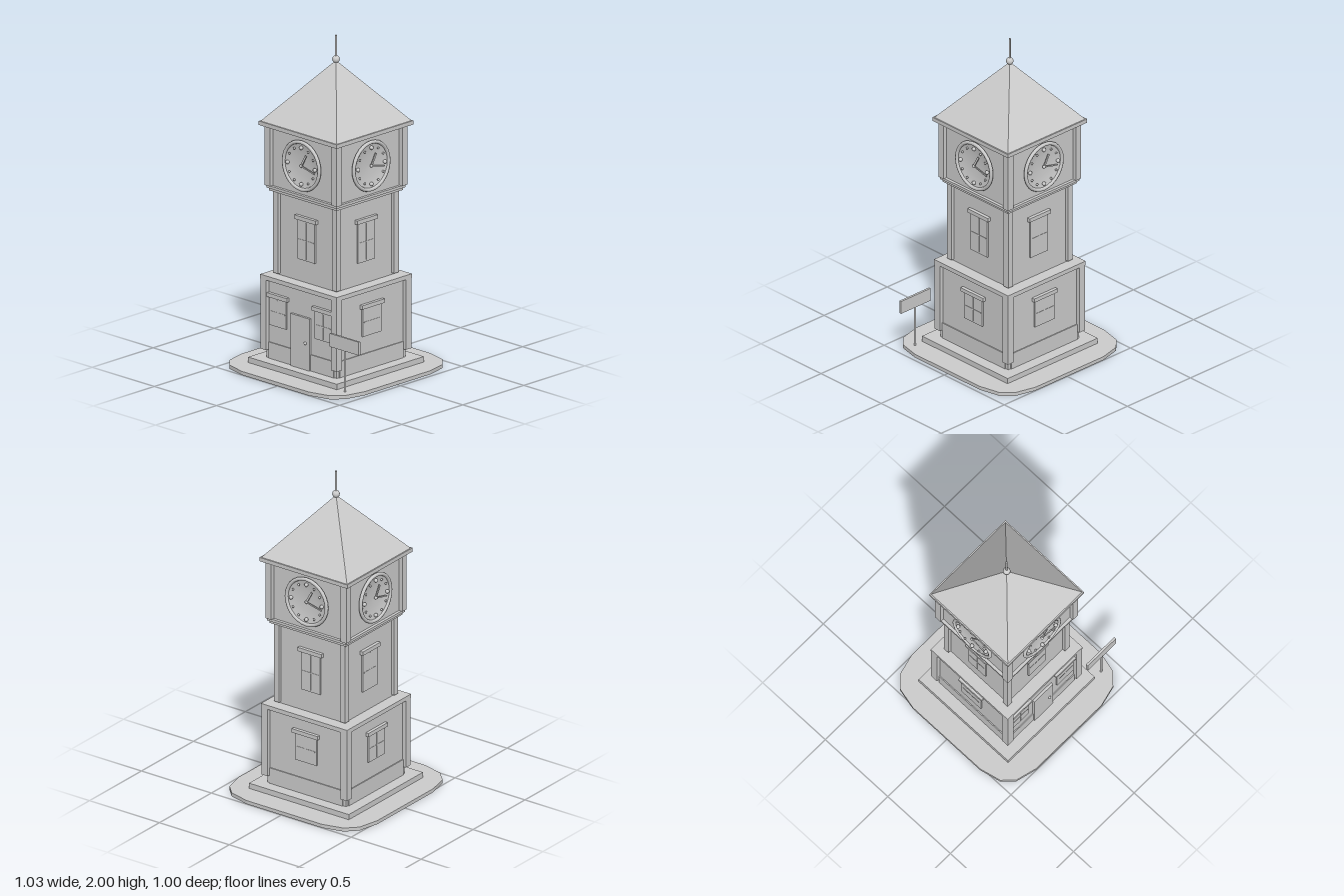
import * as THREE from 'three';

export function createModel() {
  const model = new THREE.Group();
  model.name = 'clockTower';
  const stone = new THREE.MeshStandardMaterial({ color: 0xcccccc });
  stone.name = 'pale stone grey';

  const add = (parent, name, geometry, x = 0, y = 0, z = 0) => {
    const mesh = new THREE.Mesh(geometry, stone);
    mesh.name = name;
    mesh.position.set(x, y, z);
    parent.add(mesh);
    return mesh;
  };
  // Box given by its width, bottom, top and depth
  const block = (parent, name, w, y0, y1, d, x = 0, z = 0) =>
    add(parent, name, new THREE.BoxGeometry(w, y1 - y0, d), x, (y0 + y1) / 2, z);

  const tower = new THREE.Group();
  tower.name = 'tower';
  tower.position.x = -0.02;
  model.add(tower);

  // Ground slab with chamfered round corners
  const corner = [[0.495, 0.27], [0.465, 0.4], [0.4, 0.465], [0.27, 0.498]];
  const outline = [];
  for (const [sx, sy] of [[1, 1], [-1, 1], [-1, -1], [1, -1]]) {
    const run = corner.map(([x, y]) => new THREE.Vector2(x * sx, y * sy));
    outline.push(...(sx * sy > 0 ? run : run.reverse()));
  }
  const slab = new THREE.ExtrudeGeometry(new THREE.Shape(outline), { depth: 0.022, bevelEnabled: false });
  slab.rotateX(-Math.PI / 2);
  add(tower, 'groundSlab', slab);
  block(tower, 'plinth', 0.714, 0.02, 0.055, 0.714);

  // Three storeys: wall core with square corner pillars
  const storeys = [
    { name: 'lower', wall: 0.282, outer: 0.306, width: 0.045, y0: 0.055, y1: 0.535, p0: 0.106 },
    { name: 'middle', wall: 0.235, outer: 0.255, width: 0.038, y0: 0.55, y1: 1.07, p0: 0.566 },
    { name: 'clock', wall: 0.265, outer: 0.29, width: 0.042, y0: 1.08, y1: 1.47, p0: 1.095 },
  ];
  for (const s of storeys) {
    block(tower, s.name + 'Wall', s.wall * 2, s.y0, s.y1, s.wall * 2);
    const c = s.outer - s.width / 2;
    for (const sx of [-1, 1]) for (const sz of [-1, 1])
      block(tower, s.name + 'Pillar', s.width, s.p0, s.y1 - 0.005, s.width, sx * c, sz * c);
  }

  // Cornices between storeys and the eaves
  block(tower, 'lowerCornice', 0.616, 0.53, 0.556, 0.616);
  block(tower, 'upperCornice', 0.545, 1.063, 1.083, 0.545);
  block(tower, 'upperCorniceLip', 0.566, 1.08, 1.096, 0.566);
  block(tower, 'eaves', 0.628, 1.458, 1.482, 0.628);

  // Pyramid roof and finial
  const roof = new THREE.ConeGeometry(0.308 * Math.SQRT2, 0.368, 4, 1).toNonIndexed();
  roof.rotateY(Math.PI / 4);
  roof.computeVertexNormals();
  add(tower, 'roof', roof, 0, 1.664, 0);
  add(tower, 'finialBall', new THREE.SphereGeometry(0.022, 16, 12), 0, 1.855, 0);
  add(tower, 'finialRod', new THREE.CylinderGeometry(0.006, 0.006, 0.14, 10), 0, 1.93, 0);

  // Window with pane, glazing bars and lintel, facing +z
  const windowAt = (parent, x, z, w, y0, y1) => {
    const g = new THREE.Group();
    g.name = 'window';
    g.position.set(x, 0, z);
    block(g, 'windowPane', w, y0, y1, 0.02);
    block(g, 'verticalBar', 0.006, y0 + 0.01, y1 - 0.01, 0.024);
    const mid = (y0 + y1) / 2;
    block(g, 'crossBar', w - 0.02, mid - 0.003, mid + 0.003, 0.024);
    block(g, 'lintel', w + 0.032, y1, y1 + 0.024, 0.04);
    parent.add(g);
  };

  // Clock with dished dial, rim, hour studs and hands, facing +z
  const dialGeo = new THREE.LatheGeometry(
    [[0.142, 0.018], [0.11, 0.01], [0.06, 0.003], [0, 0.001]].map(p => new THREE.Vector2(...p)), 32);
  dialGeo.rotateX(Math.PI / 2);
  const clockAt = (parent, z) => {
    const g = new THREE.Group();
    g.name = 'clock';
    g.position.set(0, 1.275, z);
    add(g, 'dial', dialGeo, 0, 0, 0.002);
    add(g, 'rim', new THREE.TorusGeometry(0.143, 0.011, 8, 28), 0, 0, 0.018);
    for (let i = 0; i < 12; i++) {
      const a = i * Math.PI / 6;
      const r = i % 3 ? 0.007 : 0.012;
      add(g, 'hourStud', new THREE.SphereGeometry(r, 10, 8), Math.sin(a) * 0.11, Math.cos(a) * 0.11, 0.021);
    }
    for (const [name, x, y, w] of [['hourHand', 0.035, 0.064, 0.012], ['minuteHand', 0.1, -0.024, 0.008]]) {
      const hand = add(g, name, new THREE.BoxGeometry(Math.hypot(x, y) + 0.012, w, 0.006), x / 2, y / 2, 0.02);
      hand.rotation.z = Math.atan2(y, x);
    }
    add(g, 'hub', new THREE.SphereGeometry(0.01, 10, 8), 0, 0, 0.02);
    parent.add(g);
  };

  // Four faces; the front has two windows and a door below
  ['front', 'left', 'back', 'right'].forEach((name, i) => {
    const face = new THREE.Group();
    face.name = name + 'Face';
    face.rotation.y = i * Math.PI / 2;
    tower.add(face);
    clockAt(face, 0.265);
    windowAt(face, 0, 0.235, 0.137, 0.69, 0.93);
    if (i === 0) {
      for (const s of [-1, 1]) {
        windowAt(face, s * 0.183, 0.282, 0.135, 0.26, 0.43);
        block(face, 'baseboard', 0.185, 0.055, 0.153, 0.012, s * 0.169, 0.282);
      }
      block(face, 'door', 0.153, 0.055, 0.37, 0.03, 0, 0.282);
      add(face, 'doorKnob', new THREE.SphereGeometry(0.009, 10, 8), 0.046, 0.217, 0.3);
    } else {
      windowAt(face, 0, 0.282, 0.153, 0.26, 0.43);
      block(face, 'baseboard', 0.523, 0.055, 0.153, 0.012, 0, 0.282);
    }
  });

  // Signpost beside the front corner
  add(model, 'signPost', new THREE.CylinderGeometry(0.007, 0.007, 0.3, 10), 0.397, 0.17, 0.351);
  block(model, 'signBoard', 0.233, 0.27, 0.35, 0.014, 0.397, 0.351);

  return model;
}
